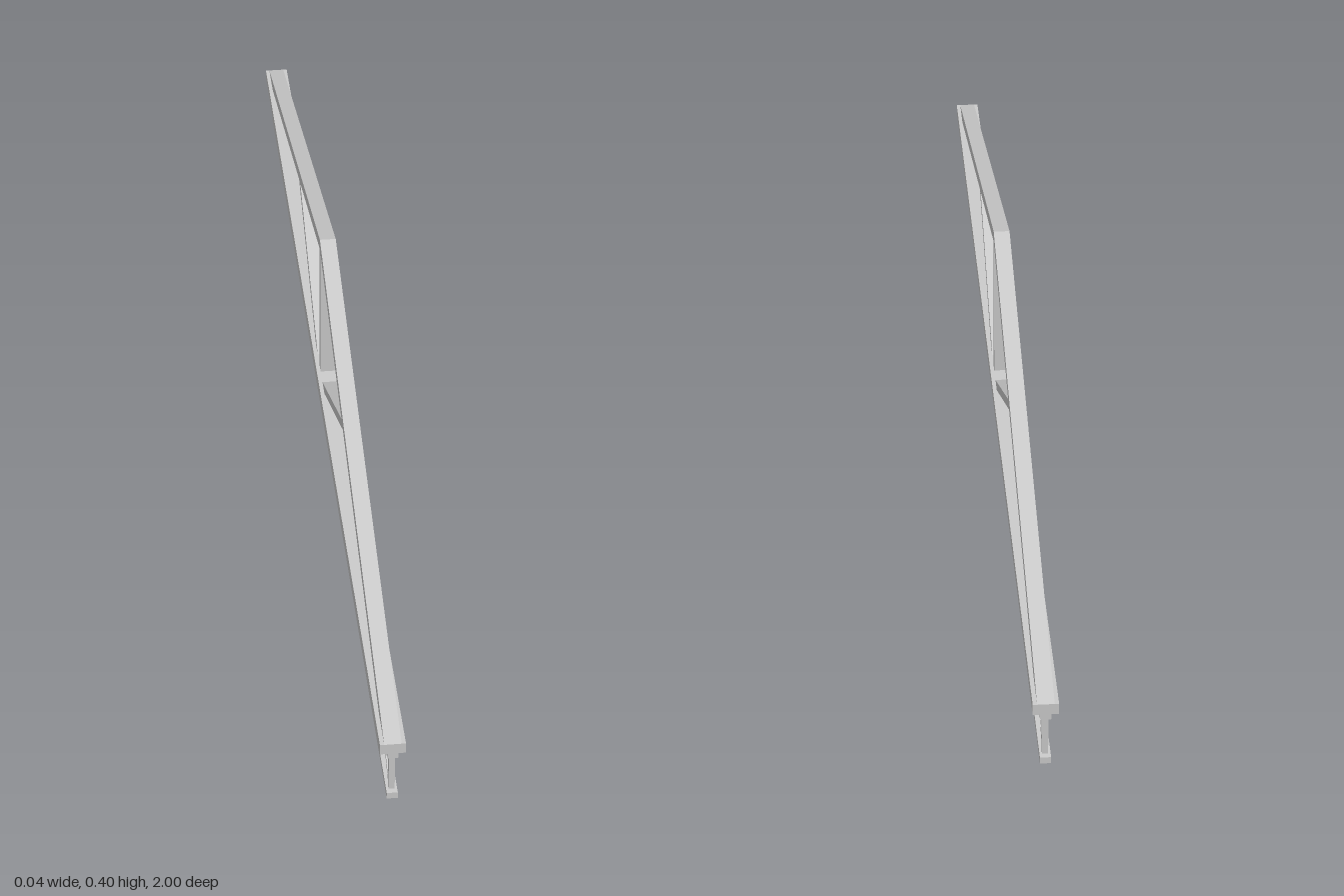
import * as THREE from 'three';

const material = new THREE.MeshStandardMaterial({ color: 0xcccccc, flatShading: true });

export function createModel() {
  const truss = new THREE.Group();
  truss.name = 'roofTruss';

  function add(name, geometry) {
    const mesh = new THREE.Mesh(geometry, material);
    mesh.name = name;
    truss.add(mesh);
    return mesh;
  }

  // Straight bar in the zy plane between two [z, y] points
  function bar(name, [z0, y0], [z1, y1], width, thickness) {
    const length = Math.hypot(z1 - z0, y1 - y0);
    const mesh = add(name, new THREE.BoxGeometry(width, thickness, length));
    mesh.position.set(0, (y0 + y1) / 2, (z0 + z1) / 2);
    mesh.rotation.x = -Math.atan2(y1 - y0, z1 - z0);
  }

  // Flat outline of [z, y] points extruded across x
  function plate(name, points, width) {
    const shape = new THREE.Shape(points.map(([z, y]) => new THREE.Vector2(z, y)));
    const geometry = new THREE.ExtrudeGeometry(shape, { depth: width, bevelEnabled: false });
    geometry.translate(0, 0, -width / 2).rotateY(-Math.PI / 2);
    add(name, geometry);
  }

  // Horizontal members
  bar('tieBeam', [-1, 0.108], [1, 0.108], 0.042, 0.02);
  bar('latticeTopRail', [-1, 0.093], [1, 0.093], 0.018, 0.01);
  bar('latticeBottomRail', [-1, 0.006], [1, 0.006], 0.018, 0.012);

  // Rafters, king post and struts
  for (const side of [-1, 1]) {
    plate('rafter', [[side, 0.118], [0, 0.402], [0, 0.381], [side * 0.926, 0.118]], 0.028);
    plate('strut', [
      [side * 0.042, 0.118], [side * 0.076, 0.118],
      [side * 0.398, 0.282], [side * 0.368, 0.285],
    ], 0.028);
  }
  bar('kingPost', [0, 0.118], [0, 0.385], 0.028, 0.02);

  // Lattice girder: posts with three crossed braces in each bay
  const bays = 5, crosses = 3, end = 0.985;
  const low = 0.012, high = 0.088;
  const bayLength = 2 * end / bays;
  const step = bayLength / crosses;
  for (let i = 0; i <= bays; i++) {
    const z = -end + i * bayLength;
    bar('latticePost', [z, low], [z, high], 0.01, 0.01);
  }
  for (let i = 0; i < bays * crosses; i++) {
    const z = -end + i * step;
    bar('risingBrace', [z, low], [z + step, high], 0.008, 0.007);
    bar('fallingBrace', [z, high], [z + step, low], 0.008, 0.007);
  }
  return truss;
}
